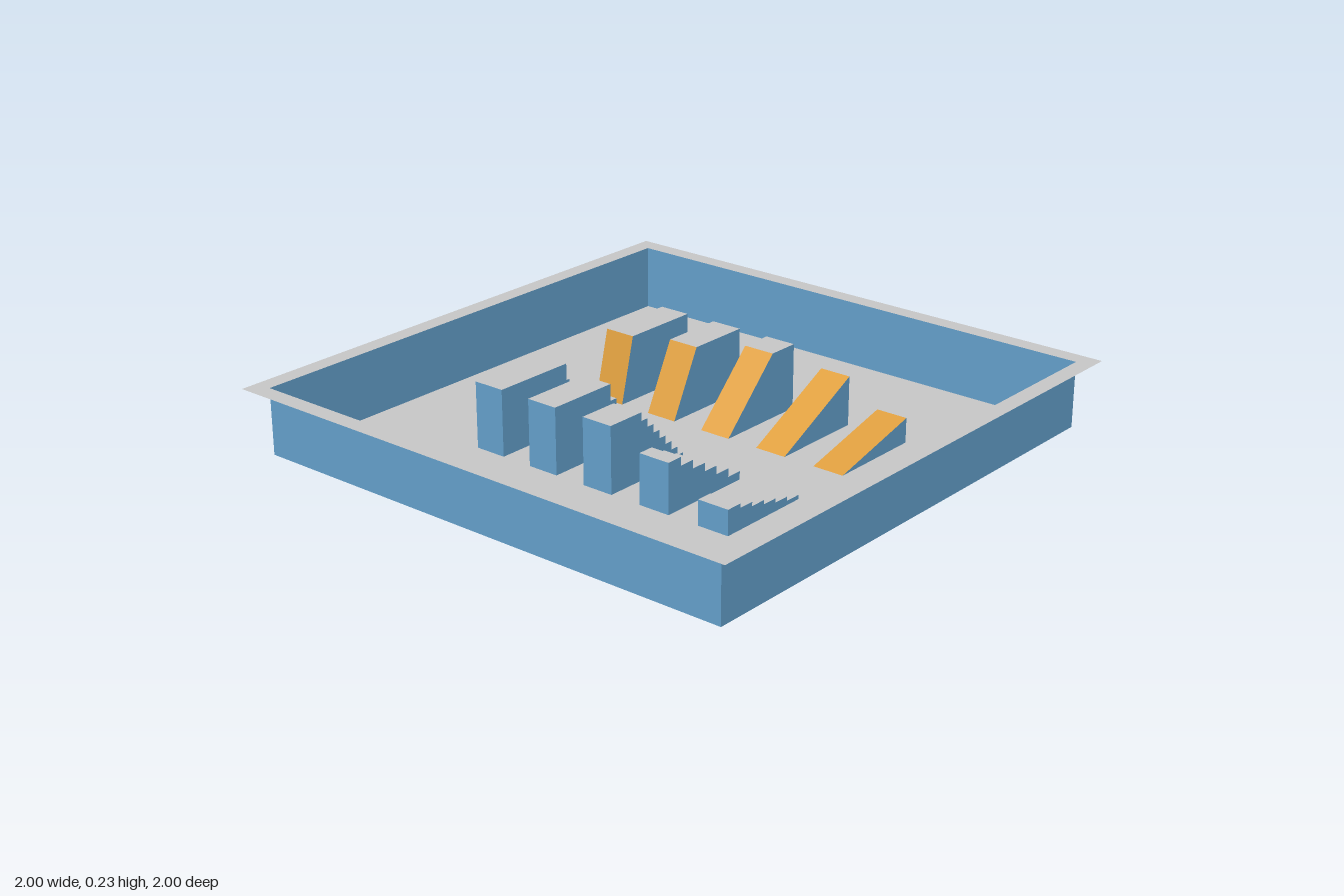
import * as THREE from 'three';

const U = 0.1172;          // base grid unit
const HALF = 8 * U;        // half width of the tray
const WALL = 2 * U;        // wall height
const LEN = 3 * U;         // length of each sample block

const grey = new THREE.MeshStandardMaterial({ name: 'light grey', color: 0xc9c9c9, side: THREE.DoubleSide });
const blue = new THREE.MeshStandardMaterial({ name: 'blue', color: 0x66a3cf, side: THREE.DoubleSide });
const orange = new THREE.MeshStandardMaterial({ name: 'orange', color: 0xe0a040, side: THREE.DoubleSide });

function addMesh(parent, name, geometry, material) {
  const mesh = new THREE.Mesh(geometry, material);
  mesh.name = name;
  parent.add(mesh);
  return mesh;
}

function square(half) {
  return [[-half, -half], [half, -half], [half, half], [-half, half]].map(([x, y]) => new THREE.Vector2(x, y));
}

// Extrudes a side profile one unit deep, then splits its faces by slope:
// level faces are grey, inclined faces orange, upright faces blue, no underside.
function block(name, points, z) {
  const shape = new THREE.Shape(points.map(([x, y]) => new THREE.Vector2(x, y)));
  const extruded = new THREE.ExtrudeGeometry(shape, { depth: U, bevelEnabled: false });
  const source = extruded.index ? extruded.toNonIndexed() : extruded;
  const pos = source.attributes.position;
  const faces = { top: [], slope: [], sides: [] };
  const tri = new THREE.Triangle();
  const normal = new THREE.Vector3();
  for (let i = 0; i < pos.count; i += 3) {
    tri.setFromAttributeAndIndices(pos, i, i + 1, i + 2);
    tri.getNormal(normal);
    if (normal.y < -0.5) continue;
    const key = normal.y > 0.99 ? 'top' : normal.y > 0.1 ? 'slope' : 'sides';
    for (const p of [tri.a, tri.b, tri.c]) faces[key].push(p.x, p.y, p.z);
  }
  const group = new THREE.Group();
  group.name = name;
  group.position.z = z;
  const materials = { top: grey, slope: orange, sides: blue };
  for (const key of Object.keys(faces)) {
    if (!faces[key].length) continue;
    const geometry = new THREE.BufferGeometry();
    geometry.setAttribute('position', new THREE.Float32BufferAttribute(faces[key], 3));
    geometry.computeVertexNormals();
    addMesh(group, name + ' ' + key, geometry, materials[key]);
  }
  return group;
}

// Ramp rising towards +x, with a level top if it reaches full height early
function ramp(run, height, z) {
  const points = [[U, 0], [U + LEN, 0], [U + LEN, height]];
  if (run < LEN - 0.001) points.push([U + run, height]);
  return block('ramp', points, z);
}

// Staircase rising towards -x
function stairs(run, height, steps, z) {
  const points = [[-U - LEN, 0], [-U, 0]];
  for (let i = 0; i < steps; i++) {
    const y = height * (i + 1) / steps;
    points.push([-U - run * i / steps, y]);
    points.push([i === steps - 1 ? -U - LEN : -U - run * (i + 1) / steps, y]);
  }
  return block('staircase', points, z);
}

export function createModel() {
  const model = new THREE.Group();
  model.name = 'slopeTestTray';

  // Tray floor
  addMesh(model, 'floor', new THREE.PlaneGeometry(2 * HALF, 2 * HALF).rotateX(-Math.PI / 2), grey);

  // Four thin walls
  for (let i = 0; i < 4; i++) {
    const wall = new THREE.PlaneGeometry(2 * HALF, WALL).translate(0, WALL / 2, HALF).rotateY(i * Math.PI / 2);
    addMesh(model, 'wall', wall, blue);
  }

  // Flat rim around the top of the walls
  const rim = new THREE.Shape(square(1));
  rim.holes.push(new THREE.Path(square(HALF).reverse()));
  addMesh(model, 'rim', new THREE.ShapeGeometry(rim).rotateX(-Math.PI / 2).translate(0, WALL, 0), grey);

  // Matching staircases and ramps, steepest at the back
  const rows = [
    { slope: 4, steps: 4 },
    { slope: 2, steps: 4 },
    { slope: 1, steps: 8 },
    { slope: 0.5, steps: 6 },
    { slope: 0.25, steps: 6 },
  ];
  rows.forEach(({ slope, steps }, i) => {
    const run = Math.min(LEN, WALL / slope);
    const z = (i - 2) * 2 * U;
    model.add(stairs(run, run * slope, steps, z), ramp(run, run * slope, z));
  });
  return model;
}
